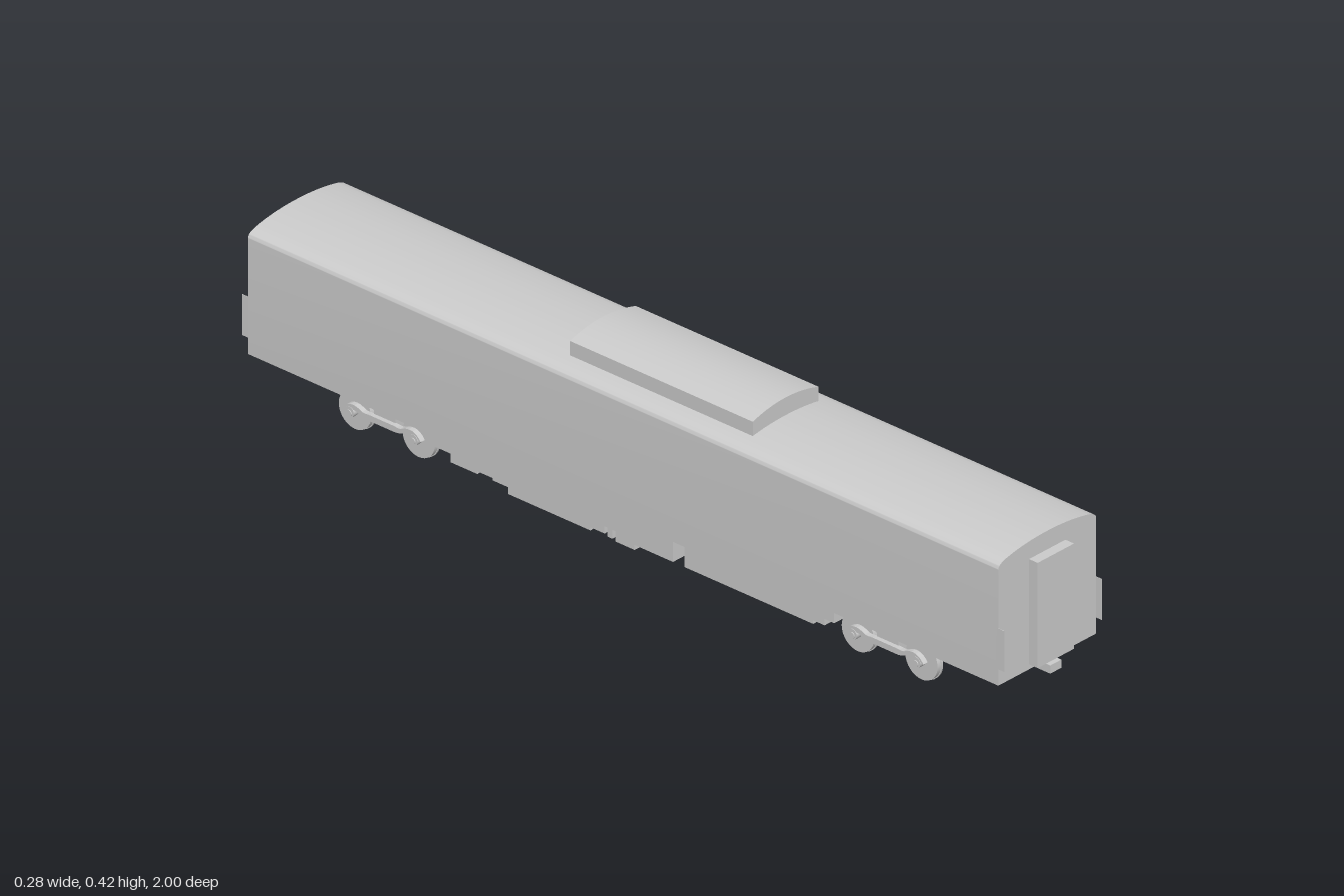
import * as THREE from 'three';
import { toCreasedNormals } from 'three/addons/utils/BufferGeometryUtils.js';

const grey = new THREE.MeshStandardMaterial({ color: 0xcccccc });

export function createModel() {
  const root = new THREE.Group();

  function add(parent, name, geo, x = 0, y = 0, z = 0) {
    const m = new THREE.Mesh(geo, grey);
    m.name = name;
    m.position.set(x, y, z);
    parent.add(m);
    return m;
  }
  const box = (w, h, d) => new THREE.BoxGeometry(w, h, d);
  const polygon = pts => new THREE.Shape(pts.map(p => new THREE.Vector2(p[0], p[1])));

  // Cross-section in x,y swept along z and centred
  function sweepZ(shape, length) {
    const g = new THREE.ExtrudeGeometry(shape, { depth: length, bevelEnabled: false, curveSegments: 14 });
    g.translate(0, 0, -length / 2);
    return toCreasedNormals(g, 0.5);
  }
  // Side profile in z,y swept along x and centred
  function sweepX(shape, width) {
    return sweepZ(shape, width).rotateY(-Math.PI / 2);
  }

  // Body shell with rounded eaves and a shallow arched roof
  const body = new THREE.Shape();
  body.moveTo(-0.14, 0.097);
  body.lineTo(0.14, 0.097);
  body.lineTo(0.14, 0.352);
  body.quadraticCurveTo(0.14, 0.363, 0.118, 0.3685);
  body.quadraticCurveTo(0.065, 0.381, 0, 0.381);
  body.quadraticCurveTo(-0.065, 0.381, -0.118, 0.3685);
  body.quadraticCurveTo(-0.14, 0.363, -0.14, 0.352);
  add(root, 'body', sweepZ(body, 1.955));

  // Arched roof unit, set ahead of the middle
  const pod = new THREE.Shape();
  pod.moveTo(-0.094, 0.365);
  pod.lineTo(0.094, 0.365);
  pod.lineTo(0.094, 0.405);
  pod.quadraticCurveTo(0, 0.435, -0.094, 0.405);
  add(root, 'roofUnit', sweepZ(pod, 0.476), 0, 0, 0.058);

  // Gangways, couplers and thin corner handrail plates at both ends
  for (const s of [1, -1]) {
    add(root, 'gangway', box(0.104, 0.232, 0.03), 0, 0.224, s * 0.985);
    add(root, 'coupler', box(0.032, 0.018, 0.07), 0, 0.09, s * 0.965);
    for (const side of [1, -1])
      add(root, 'cornerPlate', box(0.001, 0.09, 0.02), side * 0.1395, 0.178, s * 0.983);
  }

  // Underfloor equipment: stepped profiles
  const front = [[0.13, 0.1], [0.13, 0.028], [0.465, 0.028], [0.465, 0.036],
    [0.495, 0.036], [0.495, 0.05], [0.52, 0.05], [0.52, 0.1]];
  add(root, 'frontEquipment', sweepX(polygon(front), 0.214));
  const rear = [[0.1, 0.1], [0.1, 0.028], [0, 0.028], [0, 0.017], [-0.05, 0.017],
    [-0.05, 0.04], [-0.058, 0.04], [-0.058, 0.02], [-0.07, 0.02], [-0.07, 0.04],
    [-0.078, 0.04], [-0.078, 0.024], [-0.115, 0.024], [-0.115, 0.017], [-0.33, 0.017],
    [-0.33, 0.032], [-0.37, 0.032], [-0.37, 0.037], [-0.41, 0.037], [-0.41, 0.031],
    [-0.48, 0.031], [-0.48, 0.05], [-0.527, 0.05], [-0.527, 0.1]];
  add(root, 'rearEquipment', sweepX(polygon(rear), 0.214));

  // Swan-neck bogie side bar, dipping between the axles
  const bar = new THREE.Shape();
  bar.moveTo(-0.102, 0.048);
  bar.bezierCurveTo(-0.09, 0.068, -0.07, 0.068, -0.055, 0.06);
  bar.bezierCurveTo(-0.045, 0.055, -0.04, 0.058, -0.03, 0.058);
  bar.lineTo(0.03, 0.058);
  bar.bezierCurveTo(0.04, 0.058, 0.045, 0.055, 0.055, 0.06);
  bar.bezierCurveTo(0.07, 0.068, 0.09, 0.068, 0.102, 0.048);
  bar.bezierCurveTo(0.085, 0.054, 0.07, 0.056, 0.055, 0.05);
  bar.bezierCurveTo(0.045, 0.046, 0.04, 0.045, 0.03, 0.045);
  bar.lineTo(-0.03, 0.045);
  bar.bezierCurveTo(-0.04, 0.045, -0.045, 0.046, -0.055, 0.05);
  bar.bezierCurveTo(-0.07, 0.056, -0.085, 0.054, -0.102, 0.048);
  const barGeo = sweepX(bar, 0.012);

  const disc = (r, w) => new THREE.CylinderGeometry(r, r, w, 32).rotateZ(Math.PI / 2);
  const wheelGeo = disc(0.042, 0.01);
  const flangeGeo = disc(0.044, 0.004);
  const axleGeo = disc(0.007, 0.226);
  const hubGeo = disc(0.012, 0.014);

  // Two bogies, each with two wheelsets
  for (const z of [0.653, -0.657]) {
    const bogie = new THREE.Group();
    bogie.name = 'bogie';
    bogie.position.z = z;
    root.add(bogie);
    add(bogie, 'transom', box(0.2, 0.034, 0.056), 0, 0.06, 0);
    for (const side of [1, -1]) {
      add(bogie, 'sideBar', barGeo, side * 0.104, 0, 0);
      add(bogie, 'bolsterPad', box(0.058, 0.024, 0.052), side * 0.08, 0.088, 0);
    }
    for (const az of [0.083, -0.083]) {
      add(bogie, 'axle', axleGeo, 0, 0.044, az);
      for (const side of [1, -1]) {
        add(bogie, 'wheel', wheelGeo, side * 0.0895, 0.044, az);
        add(bogie, 'wheelFlange', flangeGeo, side * 0.083, 0.044, az);
        add(bogie, 'axleBox', hubGeo, side * 0.104, 0.046, az);
      }
    }
  }
  return root;
}
